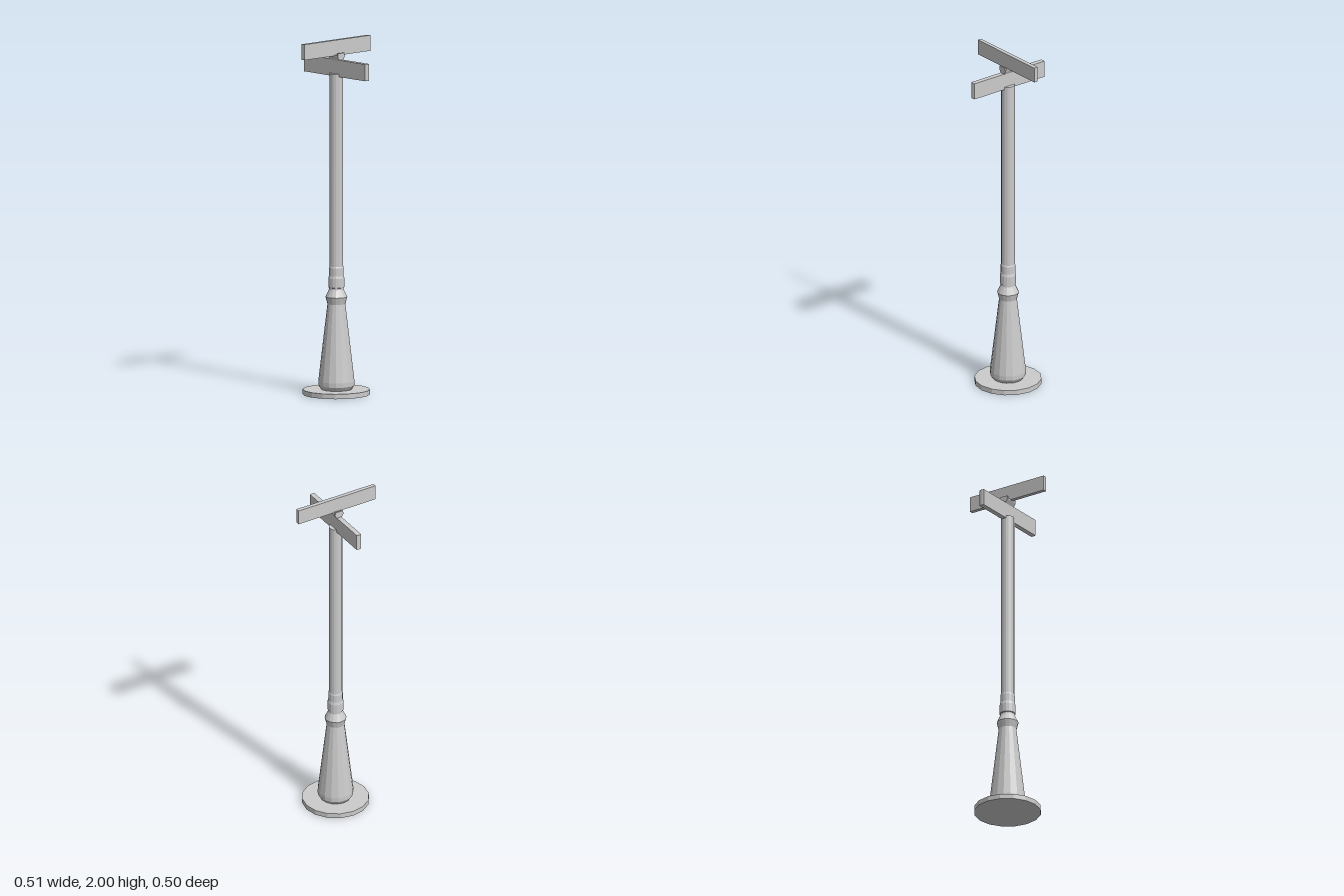
import * as THREE from 'three';

const material = new THREE.MeshStandardMaterial({ color: 0xcccccc, flatShading: true });

function add(group, name, geometry, x = 0, y = 0, z = 0) {
  const mesh = new THREE.Mesh(geometry, material);
  mesh.name = name;
  mesh.position.set(x, y, z);
  group.add(mesh);
  return mesh;
}

// Turned part: [radius, height] pairs from bottom to top, 16 sides
function turned(profile) {
  return new THREE.LatheGeometry(profile.map(([r, y]) => new THREE.Vector2(r, y)), 16);
}

function extruded(points, depth) {
  const shape = new THREE.Shape(points.map(([x, y]) => new THREE.Vector2(x, y)));
  return new THREE.ExtrudeGeometry(shape, { depth, bevelEnabled: false }).translate(0, 0, -depth / 2);
}

export function createModel() {
  const group = new THREE.Group();
  group.name = 'signpost';
  const axisZ = -0.003;

  // Flat foot disc
  add(group, 'footPlate', turned([[0, 0], [0.188, 0], [0.188, 0.028], [0, 0.028]]), 0, 0, axisZ);

  // Tapered pedestal with flared ring
  add(group, 'pedestal', turned([
    [0.085, 0.028], [0.1, 0.05], [0.101, 0.075], [0.05, 0.51],
    [0.061, 0.55], [0.041, 0.592], [0.041, 0.602],
  ]), 0, 0, axisZ);

  // Collar between pedestal and pole
  add(group, 'collar', turned([
    [0.036, 0.6], [0.045, 0.604], [0.045, 0.655], [0.041, 0.67], [0.041, 0.715], [0.037, 0.725],
  ]), 0, 0, axisZ);

  // Pole
  add(group, 'pole', turned([[0.038, 0.7], [0.038, 1.81], [0, 1.81]]), 0, 0, axisZ);

  // Lower sign, its ends very slightly pointed
  const lower = extruded([
    [-0.25, -0.0145], [0.25, -0.0145], [0.253, 0], [0.25, 0.0145], [-0.25, 0.0145], [-0.253, 0],
  ], 0.095);
  lower.rotateX(-Math.PI / 2);
  add(group, 'lowerSign', lower, 0, 1.8425, axisZ);

  // Saddle bracket between the signs, running along the lower sign
  const saddle = extruded([
    [-0.014, 1.885], [0.014, 1.885], [0.027, 1.908], [0.027, 1.916], [-0.027, 1.916], [-0.027, 1.908],
  ], 0.08);
  saddle.rotateY(Math.PI / 2);
  add(group, 'saddleBracket', saddle, 0, 0, axisZ);
  for (const side of [-1, 1]) {
    add(group, 'bracketLip', new THREE.BoxGeometry(0.009, 0.018, 0.05), side * 0.0355, 1.919, axisZ);
  }

  // Upper sign, crossing the lower one
  add(group, 'upperSign', new THREE.BoxGeometry(0.023, 0.088, 0.502), 0, 1.956, 0);

  return group;
}
